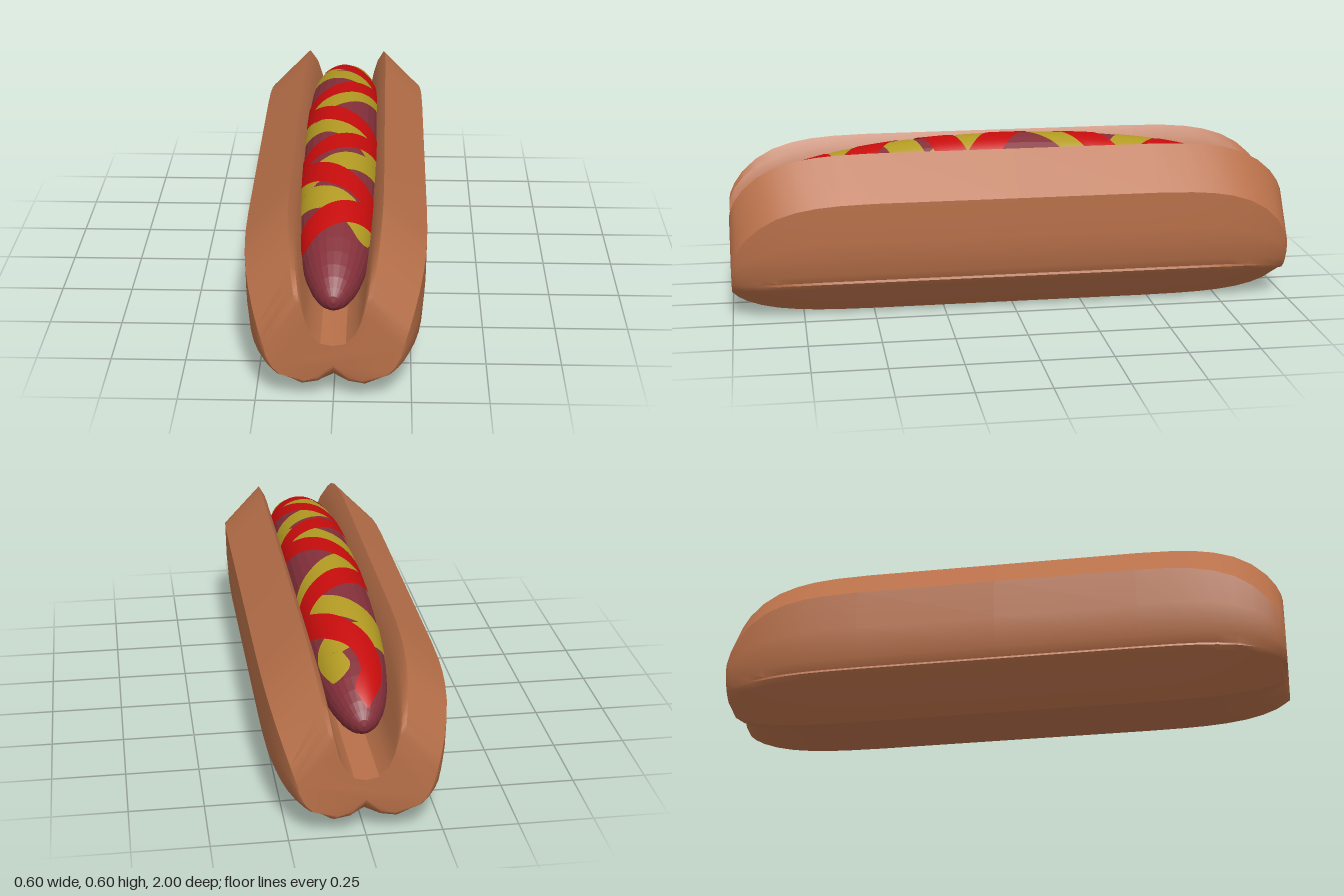
import * as THREE from 'three';
import { toCreasedNormals } from 'three/addons/utils/BufferGeometryUtils.js';

const mat = (name, color, extra = {}) => {
  const m = new THREE.MeshStandardMaterial({ color, ...extra });
  m.name = name;
  return m;
};

// Half cross-section of the bun: [x, y] in the middle, then [x, y] at the end faces
const HALF = [
  [0, 0.205, 0, 0.205], [0.04, 0.215, 0.04, 0.213], [0.07, 0.25, 0.07, 0.245],
  [0.092, 0.32, 0.088, 0.29], [0.105, 0.41, 0.095, 0.32], [0.12, 0.485, 0.1, 0.342],
  [0.135, 0.54, 0.105, 0.355], [0.155, 0.578, 0.12, 0.36],
  [0.3, 0.435, 0.22, 0.2], [0.298, 0.3, 0.215, 0.17], [0.29, 0.182, 0.2, 0.135],
  [0.274, 0.152, 0.19, 0.12], [0.277, 0.144, 0.18, 0.11], [0.262, 0.125, 0.17, 0.1],
  [0.132, 0.003, 0.09, 0.078], [0.06, 0.005, 0.045, 0.09], [0, 0.007, 0, 0.135],
];
// [distance along z, blend towards the end section]
const STATIONS = [[0, 0], [0.5, 0], [0.62, 0.015], [0.7, 0.045], [0.77, 0.1], [0.84, 0.2],
  [0.9, 0.35], [0.95, 0.55], [0.98, 0.74], [0.995, 0.89], [1, 1]];

function bunGeometry() {
  const ends = [...STATIONS.slice(1).reverse().map(([z, f]) => [-z, f]), ...STATIONS];
  const loop = [...HALF, ...HALF.slice(1, -1).reverse().map(([a, b, c, d]) => [-a, b, -c, d])];
  const n = loop.length, pos = [], idx = [];
  const section = (f) => loop.map(([a, b, c, d]) =>
    new THREE.Vector2(a + (c - a) * f, b + (d - b) * f));
  ends.forEach(([z, f]) => section(f).forEach((p) => pos.push(p.x, p.y, z)));
  for (let s = 0; s < ends.length - 1; s++) {
    for (let i = 0; i < n; i++) {
      const a = s * n + i, b = s * n + (i + 1) % n;
      idx.push(a, a + n, b, b, a + n, b + n);
    }
  }
  // End caps
  const pts = section(1), last = (ends.length - 1) * n;
  const order = pts.map((_, i) => n - 1 - i);
  const tris = THREE.ShapeUtils.triangulateShape(order.map((i) => pts[i].clone()), []);
  for (const t of tris) {
    let [a, b, c] = t.map((k) => order[k]);
    const ccw = pts[b].clone().sub(pts[a]).cross(pts[c].clone().sub(pts[a])) > 0;
    if (!ccw) [b, c] = [c, b];
    idx.push(last + a, last + b, last + c, a, c, b);
  }
  const g = new THREE.BufferGeometry();
  g.setAttribute('position', new THREE.Float32BufferAttribute(pos, 3));
  g.setIndex(idx);
  return toCreasedNormals(g, 0.55);
}

// Sausage surface: angle a is measured from the top, towards +x
const Z0 = -0.94, Z1 = 0.99;
function surface(a, z, lift = 0) {
  const t = (z - (Z0 + Z1) / 2) / ((Z1 - Z0) / 2);
  const r = 0.133 * Math.pow(Math.max(0, 1 - Math.pow(Math.abs(t), 4.5)), 0.5) + lift;
  return [r * Math.sin(a), 0.464 - 0.115 * z * z + r * Math.cos(a), z];
}

function gridGeometry(rows, cols, point) {
  const pos = [], idx = [];
  for (let i = 0; i <= rows; i++) {
    for (let j = 0; j <= cols; j++) {
      pos.push(...point(i / rows, j / cols));
      if (i < rows && j < cols) {
        const a = i * (cols + 1) + j, b = a + cols + 1;
        idx.push(a, b, a + 1, a + 1, b, b + 1);
      }
    }
  }
  const g = new THREE.BufferGeometry();
  g.setAttribute('position', new THREE.Float32BufferAttribute(pos, 3));
  g.setIndex(idx);
  g.computeVertexNormals();
  return g;
}

// Sauce ribbon laid on the sausage along a path of [angle, z]
function ribbonGeometry(path, width, lift) {
  const R = 0.13;
  const curve = new THREE.CatmullRomCurve3(path.map(([a, z]) => new THREE.Vector3(a * R, z, 0)));
  return gridGeometry(220, 6, (u, v) => {
    const p = curve.getPoint(u), t = curve.getTangent(u);
    // Rounded ribbon ends
    const e = Math.min(u, 1 - u) / 0.02;
    const w = width * (e < 1 ? Math.sqrt(1 - (1 - e) ** 2) : 1) * (0.5 - v) * 2;
    const z = THREE.MathUtils.clamp(p.y + t.x * w, Z0 + 0.01, Z1 - 0.01);
    return surface((p.x - t.y * w) / R, z, lift);
  });
}

const KETCHUP = [[0, -0.9], [-0.5, -0.8], [-0.3, -0.68], [0.4, -0.57], [1.3, -0.42], [0, -0.27],
  [-1.3, -0.14], [0, 0.02], [1.3, 0.16], [0, 0.25], [-1.3, 0.34], [0, 0.49], [1.3, 0.62],
  [0, 0.7], [-1.4, 0.78]];
const MUSTARD = [[0.5, -0.8], [0.75, -0.68], [0, -0.63], [-1.2, -0.57], [0, -0.47], [1.2, -0.34],
  [0, -0.17], [-1.3, 0.03], [0, 0.12], [1.2, 0.32], [0, 0.4], [-1.2, 0.53], [0, 0.63],
  [1.2, 0.77]];

export function createModel() {
  const group = new THREE.Group();
  const add = (name, geometry, material) => {
    const m = new THREE.Mesh(geometry, material);
    m.name = name;
    group.add(m);
  };
  add('bun', bunGeometry(), mat('bread brown', 0xb87049));
  // Rings crowd together towards the rounded ends
  add('sausage', gridGeometry(30, 24, (u, v) => {
    const t = Math.sin((u - 0.5) * Math.PI);
    return surface(v * Math.PI * 2, (Z0 + Z1) / 2 + t * (Z1 - Z0) / 2);
  }), mat('sausage red brown', 0x84303a, { flatShading: true }));
  add('mustard', ribbonGeometry(MUSTARD, 0.056, 0.002),
    mat('mustard yellow', 0xb29a22, { side: THREE.DoubleSide }));
  add('ketchup', ribbonGeometry(KETCHUP, 0.052, 0.004),
    mat('ketchup red', 0xc60c0c, { side: THREE.DoubleSide }));
  return group;
}
